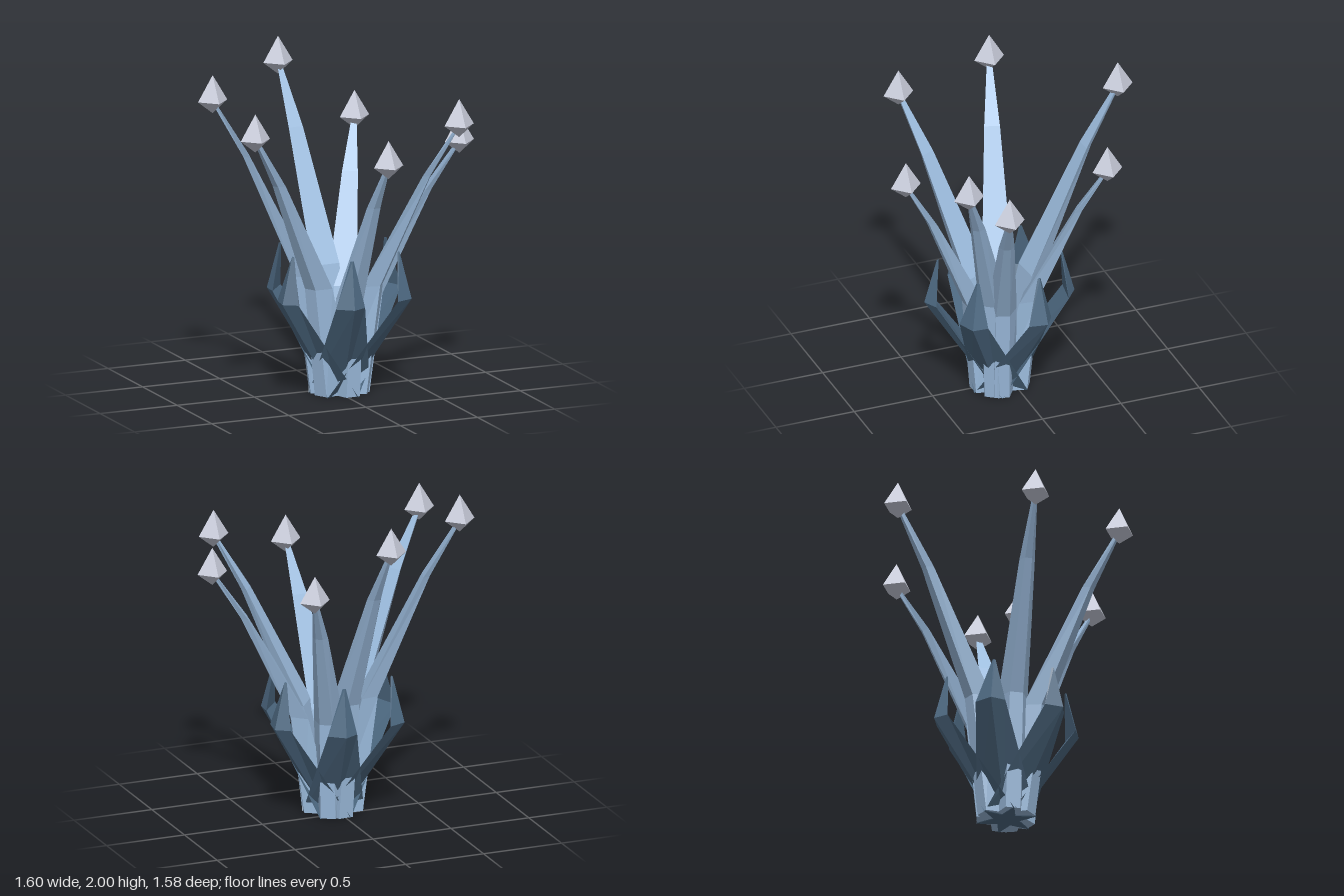
import * as THREE from 'three';

// Faceted loft through rings of [radial, height, sideways] points, closed at both ends
function loft(rings) {
  const pos = [];
  const tri = (...pts) => pts.forEach((p) => pos.push(...p));
  const n = rings[0].length;
  for (let k = 0; k < rings.length - 1; k++) {
    const a = rings[k], b = rings[k + 1];
    for (let i = 0; i < n; i++) {
      const j = (i + 1) % n;
      tri(a[i], a[j], b[j]);
      tri(a[i], b[j], b[i]);
    }
  }
  const bottom = rings[0], top = rings[rings.length - 1];
  for (let i = 1; i < n - 1; i++) {
    tri(bottom[0], bottom[i + 1], bottom[i]);
    tri(top[0], top[i], top[i + 1]);
  }
  const geo = new THREE.BufferGeometry();
  geo.setAttribute('position', new THREE.Float32BufferAttribute(pos, 3));
  geo.computeVertexNormals();
  return geo;
}

// Stalk section: wide inner face, narrow outer face
const stalkRing = (y, outer, inner, half) => [
  [outer, y, half * 0.45], [outer, y, -half * 0.45], [inner, y, -half], [inner, y, half],
];

// Gem-like bud: octahedron with a taller upper half
function budGeometry() {
  const geo = new THREE.OctahedronGeometry(1);
  const p = geo.attributes.position;
  for (let i = 0; i < p.count; i++) {
    const y = p.getY(i);
    p.setXYZ(i, p.getX(i) * 0.095, y * (y > 0 ? 0.157 : 0.075), p.getZ(i) * 0.095);
  }
  geo.computeVertexNormals();
  return geo;
}

export function createModel() {
  const model = new THREE.Group();
  model.name = 'plant';
  const paint = (name, color) => {
    const m = new THREE.MeshStandardMaterial({ color });
    m.name = name;
    return m;
  };
  const stalkBlue = paint('stalkBlue', 0x9dbddf);
  const leafBlue = paint('leafBlue', 0x4f6b84);
  const budGrey = paint('budGrey', 0xc8ccda);

  const cx = 0.015, cz = 0.08; // root of the plant
  const add = (name, geo, mat, x, y, z, angle = 0) => {
    const mesh = new THREE.Mesh(geo, mat);
    mesh.name = name;
    mesh.position.set(x, y, z);
    mesh.rotation.y = -angle;
    model.add(mesh);
  };

  // Stalks curving outward, each with a bud on its end
  const buds = [
    [-0.035, 1.843, -0.695], [0.36, 1.523, -0.47], [-0.705, 1.793, -0.145], [-0.69, 1.683, 0.44],
    [0.06, 1.503, 0.695], [0.6, 1.663, 0.51], [0.7, 1.508, 0.29],
  ];
  const bud = budGeometry();
  buds.forEach(([x, y, z], i) => {
    const R = Math.hypot(x - cx, z - cz);
    const geo = loft([
      stalkRing(0.004, 0.175, 0, 0.1),
      stalkRing(y * 0.4, R * 0.27 + 0.06, R * 0.27 - 0.04, 0.09),
      stalkRing(y * 0.81, R * 0.735 + 0.02, R * 0.735 - 0.02, 0.047),
      stalkRing(y, R + 0.01, R - 0.01, 0.014),
    ]);
    add(`stalk${i + 1}`, geo, stalkBlue, cx, 0, cz, Math.atan2(z - cz, x - cx));
    add(`bud${i + 1}`, bud, budGrey, x, y, z);
  });

  // Six short three-sided leaves, wide at the root, leaning out and bending back to a point
  const leaf = loft([
    [[0.06, 0, -0.01], [0, 0, -0.185], [0, 0, 0.18]],
    [[0.45, 0.6, -0.03], [0.385, 0.6, -0.1], [0.405, 0.6, 0.077]],
    [[0.375, 0.88, -0.025], [0.365, 0.88, -0.035], [0.365, 0.88, -0.015]],
  ]);
  for (let i = 0; i < 6; i++) {
    add(`leaf${i + 1}`, leaf, leafBlue, cx, 0, cz, THREE.MathUtils.degToRad(-14 + i * 60));
  }
  return model;
}
